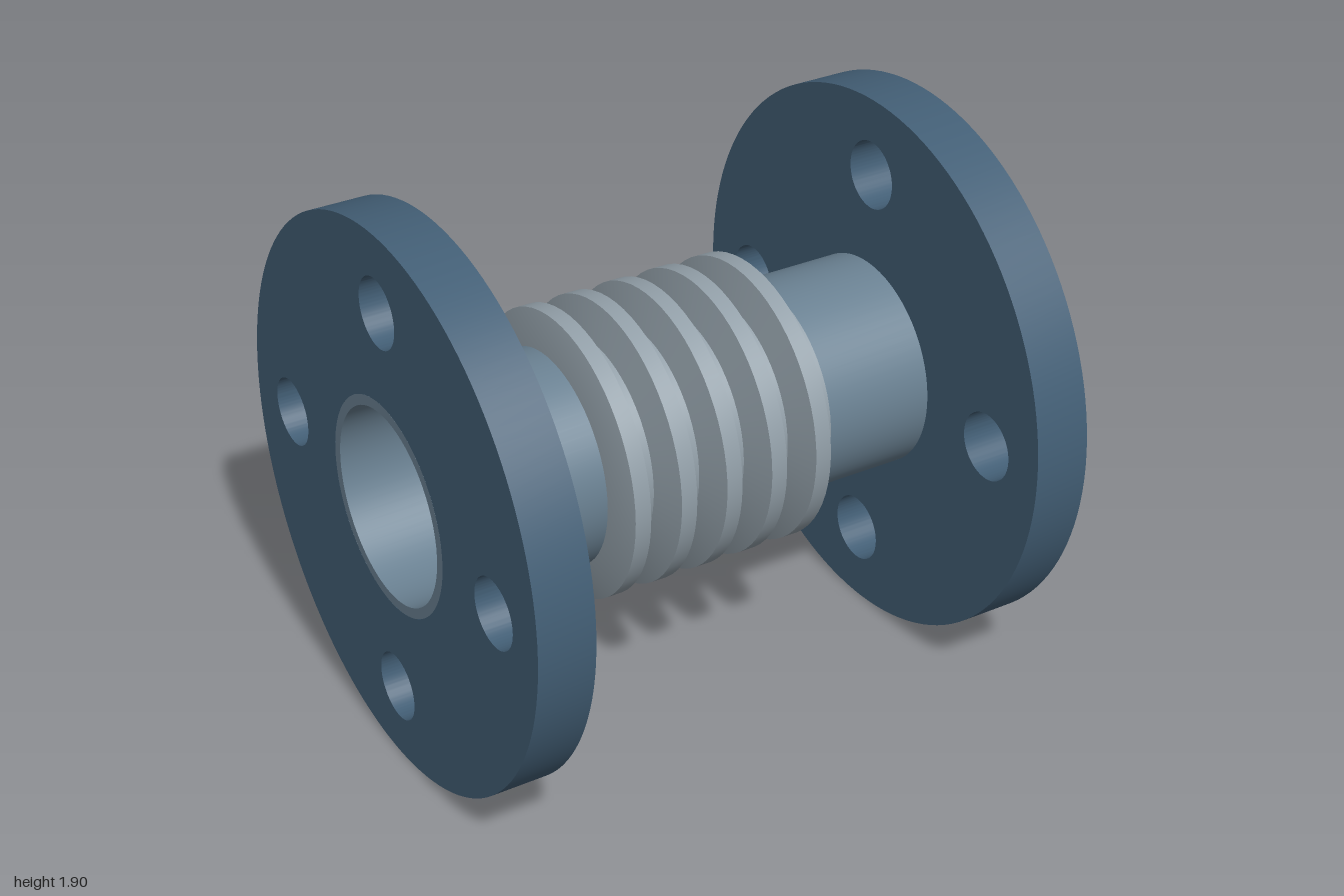
import * as THREE from 'three';
import { toCreasedNormals } from 'three/addons/utils/BufferGeometryUtils.js';

const AXIS_Y = 0.95;
const FLANGE_R = 0.95, FLANGE_T = 0.195;
const PIPE_R = 0.365, BORE_R = 0.33, RIDGE_R = 0.487;
const BELLOWS_HALF = 0.42, RIDGES = 5;

const paint = (color) => new THREE.MeshStandardMaterial({ color });

// Revolve [radius, x] points around the x axis
function turned(points) {
  const geo = new THREE.LatheGeometry(points.map(([r, x]) => new THREE.Vector2(r, x)), 64);
  geo.rotateZ(-Math.PI / 2);
  return toCreasedNormals(geo, 0.4);
}

function part(name, geometry, material) {
  const mesh = new THREE.Mesh(geometry, material);
  mesh.name = name;
  return mesh;
}

// Disc with a centre bore and four bolt holes
function flangeGeometry() {
  const shape = new THREE.Shape().absarc(0, 0, FLANGE_R, 0, Math.PI * 2, false);
  const hole = (x, y, r) => shape.holes.push(new THREE.Path().absarc(x, y, r, 0, Math.PI * 2, true));
  hole(0, 0, PIPE_R);
  for (let i = 0; i < 4; i++) {
    const a = i * Math.PI / 2;
    hole(0.685 * Math.cos(a), 0.685 * Math.sin(a), 0.117);
  }
  const geo = new THREE.ExtrudeGeometry(shape, { depth: FLANGE_T, bevelEnabled: false, curveSegments: 64 });
  geo.rotateY(Math.PI / 2);
  geo.translate(1 - FLANGE_T, 0, 0);
  return toCreasedNormals(geo, 0.4);
}

// Ridged sleeve: rise, crest, fall and valley repeated, with a smooth bore
function bellowsGeometry() {
  const pitch = 2 * BELLOWS_HALF / RIDGES;
  const points = [[BORE_R, BELLOWS_HALF], [BORE_R, -BELLOWS_HALF]];
  for (let i = 0; i < RIDGES; i++) {
    const x = -BELLOWS_HALF + i * pitch;
    points.push([PIPE_R, x], [RIDGE_R, x + pitch / 6], [RIDGE_R, x + pitch / 2], [PIPE_R, x + pitch * 2 / 3]);
  }
  points.push([PIPE_R, BELLOWS_HALF], [BORE_R, BELLOWS_HALF]);
  return turned(points);
}

export function createModel() {
  const model = new THREE.Group();
  model.name = 'flangedBellowsJoint';
  const flangeMat = paint(0x435f76), pipeMat = paint(0x6a8192), bellowsMat = paint(0x929fa8);

  const flange = flangeGeometry();
  const pipe = turned([
    [PIPE_R, BELLOWS_HALF], [PIPE_R, 1], [BORE_R, 1], [BORE_R, BELLOWS_HALF],
  ]);

  // Matching pipe stub and flange at each end
  for (const [side, turn] of [['left', 0], ['right', Math.PI]]) {
    const end = new THREE.Group();
    end.name = side + 'End';
    end.add(part(side + 'Flange', flange, flangeMat), part(side + 'Pipe', pipe, pipeMat));
    end.rotation.y = turn;
    end.position.y = AXIS_Y;
    model.add(end);
  }

  const bellows = part('bellows', bellowsGeometry(), bellowsMat);
  bellows.position.y = AXIS_Y;
  model.add(bellows);
  return model;
}
